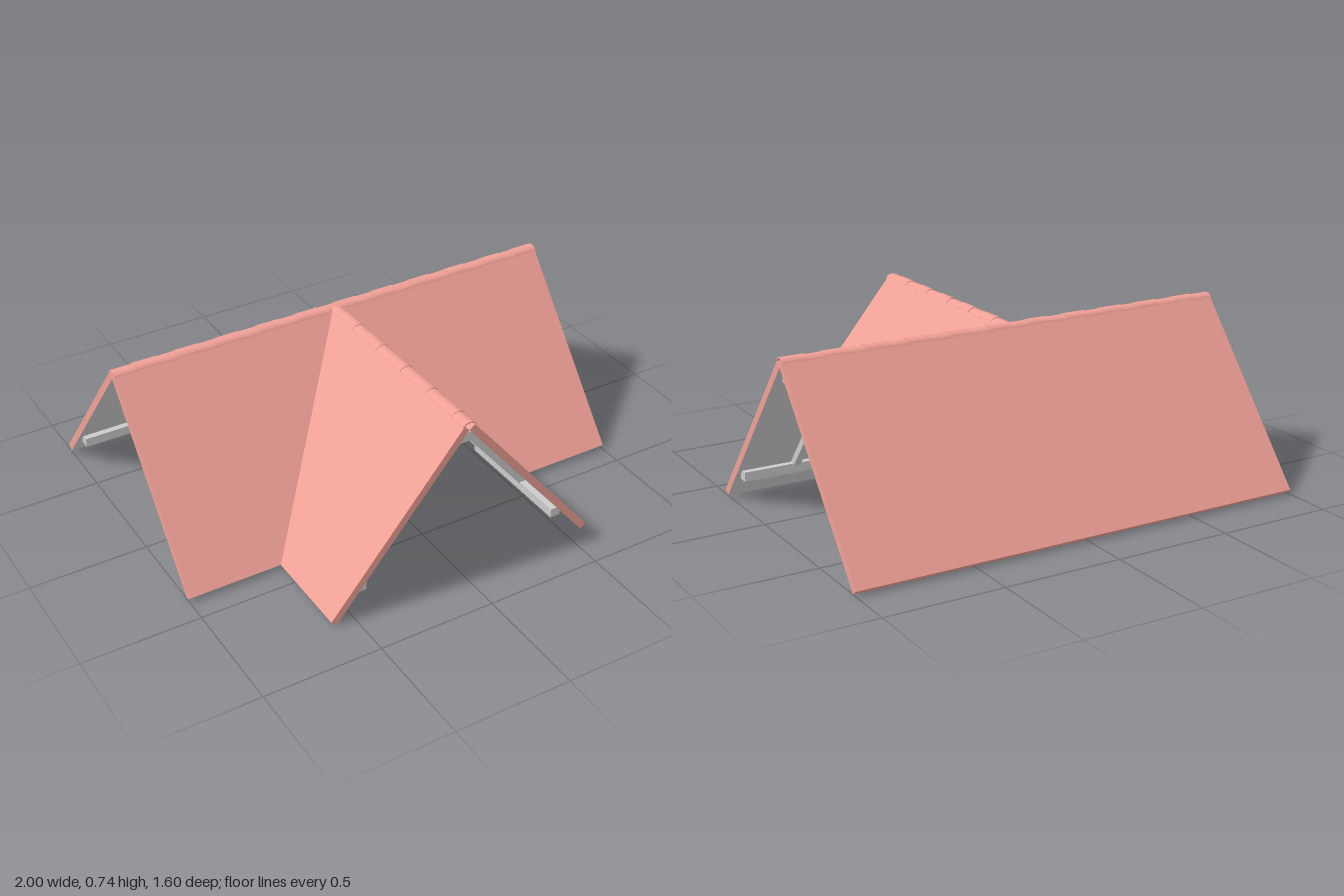
import * as THREE from 'three';

const tileMat = new THREE.MeshStandardMaterial({ color: 0xf0a096 });
const woodMat = new THREE.MeshStandardMaterial({ color: 0xcccccc });

// Roof section: d = horizontal distance from the ridge, u = distance along it
const RIDGE_Z = -0.2, SLOPE = 1.207;
const EAVE = 0.6, LIP = 0.024;          // outer eave, horizontal shift of the underside
const topY = d => 0.02 + SLOPE * (EAVE - d);
const underY = d => SLOPE * (EAVE - LIP - d);

// Placements of a slope: (u, y, d) to world
const mainSide = s => (u, y, d) => new THREE.Vector3(s * u, y, RIDGE_Z + d);
const wingSide = s => (u, y, d) => new THREE.Vector3(s * d, y, RIDGE_Z + u);
const backSide = (u, y, d) => new THREE.Vector3(u, y, RIDGE_Z - d);

function add(group, geo, mat, name) {
  const mesh = new THREE.Mesh(geo, mat);
  mesh.name = name;
  group.add(mesh);
  return mesh;
}

// Flat quads from corner loops, optionally reversed
function quads(loops, flip) {
  const pos = [];
  for (const [a, b, c, d] of loops) {
    const order = flip ? [a, c, b, a, d, c] : [a, b, c, a, c, d];
    order.forEach(p => pos.push(p.x, p.y, p.z));
  }
  const geo = new THREE.BufferGeometry();
  geo.setAttribute('position', new THREE.Float32BufferAttribute(pos, 3));
  geo.computeVertexNormals();
  return geo;
}

// Roof slab: tiled top and edges, plain underside. Outlines are [u, d] corners
function slab(group, place, topOutline, underOutline, name) {
  const t = topOutline.map(([u, d]) => place(u, topY(d), d));
  const b = underOutline.map(([u, d]) => place(u, underY(d), d));
  const n = t[1].clone().sub(t[0]).cross(t[2].clone().sub(t[0]));
  const flip = n.y < 0;
  const skin = [t];
  for (let i = 0; i < 4; i++) {
    const j = (i + 1) % 4;
    skin.push([t[i], b[i], b[j], t[j]]);
  }
  add(group, quads(skin, flip), tileMat, name);
  add(group, quads([b], !flip), woodMat, name + 'Underside');
}

// Straight timber between two points
function beam(group, a, b, w, h, name) {
  const mesh = add(group, new THREE.BoxGeometry(w, h, a.distanceTo(b)), woodMat, name);
  mesh.position.copy(a).add(b).multiplyScalar(0.5);
  mesh.lookAt(b);
}

function rafter(group, place, u) {
  const y = d => underY(d) - 0.021;
  beam(group, place(u, y(0.018), 0.018), place(u, y(0.47), 0.47), 0.03, 0.027, 'rafter');
}

// Curved ridge tile, extruded along +z
function ridgeTileGeometry(length) {
  const s = new THREE.Shape();
  s.moveTo(-0.03, 0);
  s.bezierCurveTo(-0.02, 0.024, 0.02, 0.024, 0.03, 0);
  s.lineTo(0.025, 0);
  s.bezierCurveTo(0.017, 0.017, -0.017, 0.017, -0.025, 0);
  s.closePath();
  return new THREE.ExtrudeGeometry(s, { depth: length, bevelEnabled: false, curveSegments: 8 });
}

// Row of overlapping ridge tiles along local +z
function ridgeRow(length, count, name) {
  const row = new THREE.Group();
  row.name = name;
  const step = length / count, over = 0.012;
  const geo = ridgeTileGeometry(step + over);
  for (let i = 0; i < count; i++) {
    const tile = add(row, geo, tileMat, 'ridgeTile');
    const last = i === count - 1;
    tile.position.set(0, 0.714 + (i % 2 ? 0.003 : 0), i * step - (last ? over : 0));
  }
  return row;
}

export function createModel() {
  const model = new THREE.Group();
  const roof = new THREE.Group(), frame = new THREE.Group();
  roof.name = 'roof';
  frame.name = 'timberFrame';
  model.add(roof, frame);

  // Back slope spans the full width
  slab(roof, backSide,
    [[-1, LIP], [1, LIP], [1, EAVE], [-1, EAVE]],
    [[-1, 0], [1, 0], [1, EAVE - LIP], [-1, EAVE - LIP]], 'backSlope');

  // Four front slopes meeting in two mitred valleys
  const topCut = [[LIP, LIP], [1, LIP], [1, EAVE], [EAVE, EAVE]];
  const underCut = [[0, 0], [1, 0], [1, EAVE - LIP], [EAVE - LIP, EAVE - LIP]];
  const plateD = 0.455, plateY = 0.12;
  for (const s of [1, -1]) {
    const side = s > 0 ? 'left' : 'right';
    for (const [place, part] of [[mainSide(s), 'MainSlope'], [wingSide(s), 'WingSlope']]) {
      slab(roof, place, topCut, underCut, side + part);
      for (const u of [0.5, 0.75]) rafter(frame, place, u);
      beam(frame, place(plateD - 0.022, plateY, plateD), place(0.98, plateY, plateD),
        0.045, 0.04, 'wallPlate');
    }
    // Valley rafter under the mitre
    const p = mainSide(s), y = d => underY(d) - 0.02;
    beam(frame, p(0.02, y(0.02), 0.02), p(0.465, y(0.465), 0.465), 0.03, 0.027, 'valleyRafter');
  }

  // Back framing
  for (let i = -3; i <= 3; i++) rafter(frame, backSide, i * 0.25);
  beam(frame, backSide(-0.98, plateY, plateD), backSide(0.98, plateY, plateD), 0.045, 0.04, 'wallPlate');

  // Ridge beams and the post under their crossing
  const beamY = 0.65;
  beam(frame, backSide(-0.98, beamY, 0), backSide(0.98, beamY, 0), 0.045, 0.04, 'mainRidgeBeam');
  beam(frame, new THREE.Vector3(0, beamY, RIDGE_Z), new THREE.Vector3(0, beamY, 0.78), 0.045, 0.04, 'wingRidgeBeam');
  const post = add(frame, new THREE.BoxGeometry(0.04, 0.55, 0.04), woodMat, 'centrePost');
  post.position.set(0, 0.375, RIDGE_Z);

  // Ridge tiles
  const mainRow = ridgeRow(2, 22, 'mainRidgeTiles');
  mainRow.rotation.y = Math.PI / 2;
  mainRow.position.set(-1, 0, RIDGE_Z);
  const wingRow = ridgeRow(1, 11, 'wingRidgeTiles');
  wingRow.position.z = RIDGE_Z;
  roof.add(mainRow, wingRow);

  return model;
}
